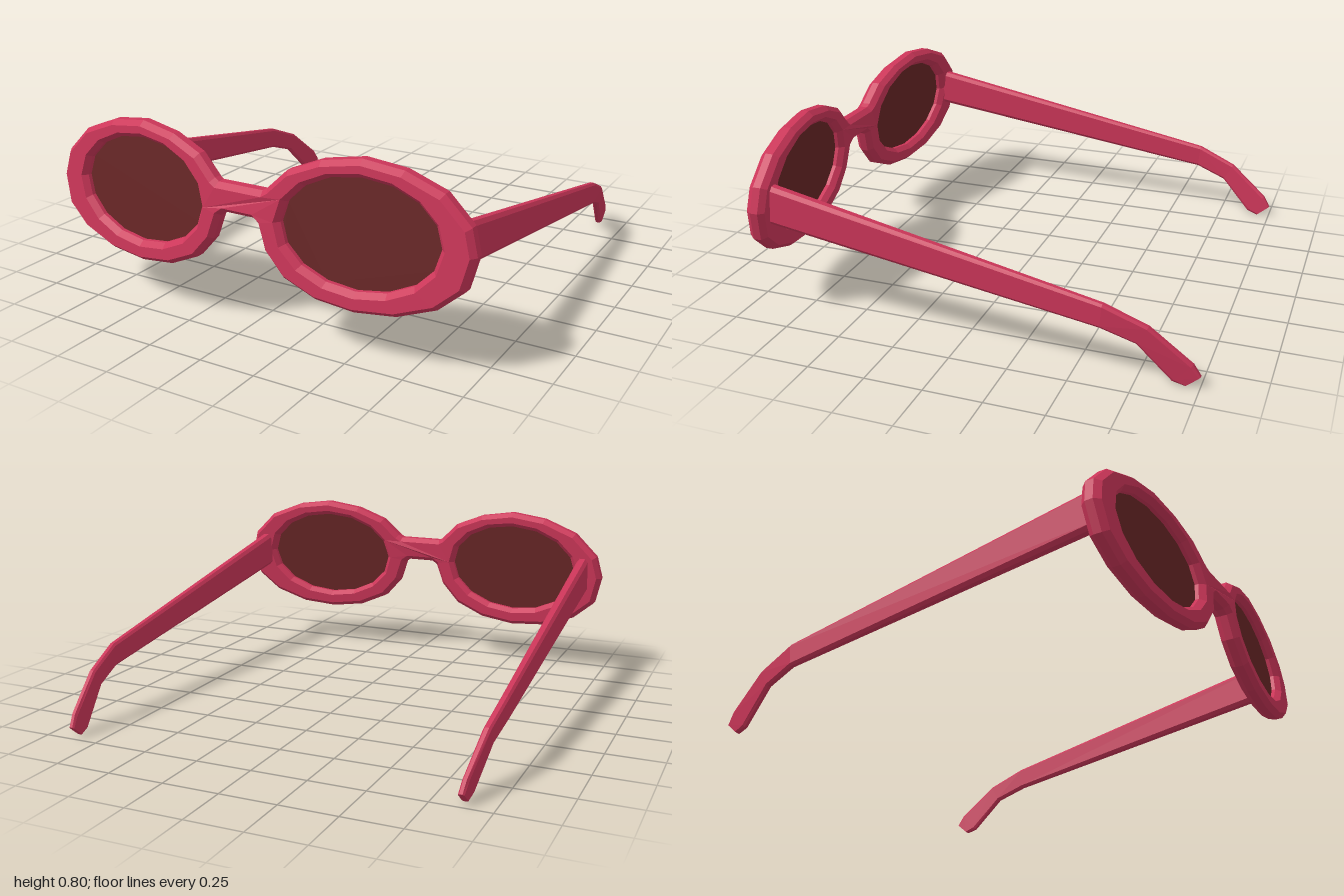
import * as THREE from 'three';

// Frame front: tilts forward at the bottom and sweeps back towards the sides
const sweep = (x, y) => 0.95 + 0.1 * (0.51 - y) - 0.085 * Math.max(Math.abs(x), 0.1);

function bend(geometry) {
  const p = geometry.attributes.position;
  for (let i = 0; i < p.count; i++) p.setZ(i, p.getZ(i) + sweep(p.getX(i), p.getY(i)));
  geometry.computeVertexNormals();
  return geometry;
}

// Faceted oval around a lens centre
function ovalPoints(cx, rx, ry, sides) {
  return Array.from({ length: sides }, (_, i) => {
    const a = (i / sides) * Math.PI * 2;
    return new THREE.Vector2(cx + rx * Math.cos(a), 0.512 + ry * Math.sin(a));
  });
}

// Bevelled frame with two lens openings
function makeFrame(material) {
  const half = [
    [0.066, 0.508], [0.09, 0.49], [0.125, 0.386], [0.21, 0.29], [0.35, 0.228], [0.516, 0.206],
    [0.69, 0.222], [0.85, 0.28], [0.955, 0.37], [0.988, 0.503], [0.96, 0.61], [0.85, 0.72],
    [0.69, 0.783], [0.52, 0.805], [0.35, 0.777], [0.21, 0.72], [0.125, 0.637], [0.105, 0.625],
  ];
  const mirrored = half.map(([x, y]) => [-x, y]).reverse();
  const shape = new THREE.Shape([...half, ...mirrored].map(([x, y]) => new THREE.Vector2(x, y)));
  for (const s of [1, -1]) shape.holes.push(new THREE.Path(ovalPoints(s * 0.52, 0.332, 0.222, 16)));
  const geometry = new THREE.ExtrudeGeometry(shape, {
    depth: 0.035, bevelEnabled: true, bevelThickness: 0.025, bevelSize: 0.02,
    bevelOffset: -0.02, bevelSegments: 1,
  });
  geometry.translate(0, 0, -0.0175);
  const mesh = new THREE.Mesh(bend(geometry), material);
  mesh.name = 'frame';
  return mesh;
}

// Temple arm: chamfered rectangular sections joined along the arm
function makeTemple(side, material) {
  // top z, top y, bottom z, bottom y, centre x, half thickness
  const stations = [
    [0.86, 0.608, 0.86, 0.433, 0.894, 0.028],
    [-0.617, 0.325, -0.607, 0.222, 0.922, 0.017],
    [-0.795, 0.25, -0.75, 0.17, 0.905, 0.016],
    [-0.97, 0.105, -0.89, 0.02, 0.88, 0.014],
    [-1.0, 0.055, -0.94, 0.004, 0.874, 0.013],
  ];
  const rings = stations.map(([tz, ty, bz, by, cx, h]) => {
    const c = 0.1; // chamfer as a share of the height
    const at = (dx, t) => new THREE.Vector3(side * (cx + dx * h), by + (ty - by) * t, bz + (tz - bz) * t);
    return [at(0.5, 0), at(1, c), at(1, 1 - c), at(0.5, 1), at(-0.5, 1), at(-1, 1 - c), at(-1, c), at(-0.5, 0)];
  });
  const out = [];
  const tri = (a, b, c) => (side > 0 ? out.push(a, b, c) : out.push(a, c, b));
  for (let i = 0; i < rings.length - 1; i++) {
    for (let j = 0; j < 8; j++) {
      const k = (j + 1) % 8;
      const [a, b, c, d] = [rings[i][j], rings[i][k], rings[i + 1][k], rings[i + 1][j]];
      tri(a, c, d);
      tri(a, b, c);
    }
  }
  const first = rings[0], last = rings[rings.length - 1];
  for (let j = 1; j < 7; j++) {
    tri(first[0], first[j + 1], first[j]);
    tri(last[0], last[j], last[j + 1]);
  }
  // Winding runs counter-clockwise when seen from outside
  const n = new THREE.Vector3().subVectors(rings[0][2], rings[0][1])
    .cross(new THREE.Vector3().subVectors(rings[1][2], rings[0][1])).multiplyScalar(side);
  if (n.x * side < 0) for (let i = 0; i < out.length; i += 3) [out[i + 1], out[i + 2]] = [out[i + 2], out[i + 1]];
  const geometry = new THREE.BufferGeometry().setFromPoints(out);
  geometry.computeVertexNormals();
  const mesh = new THREE.Mesh(geometry, material);
  mesh.name = side > 0 ? 'leftTemple' : 'rightTemple';
  return mesh;
}

// Tinted lens plate set in the middle of the frame thickness
function makeLens(side, material) {
  const shape = new THREE.Shape(ovalPoints(side * 0.52, 0.345, 0.235, 32));
  const mesh = new THREE.Mesh(bend(new THREE.ShapeGeometry(shape)), material);
  mesh.name = side > 0 ? 'leftLens' : 'rightLens';
  return mesh;
}

export function createModel() {
  const frameRed = new THREE.MeshStandardMaterial({ color: 0xcc3659 });
  frameRed.name = 'frameRed';
  const lensBrown = new THREE.MeshStandardMaterial({ color: 0x682626, side: THREE.DoubleSide });
  lensBrown.name = 'lensBrown';

  const model = new THREE.Group();
  model.name = 'sunglasses';
  model.add(makeFrame(frameRed));
  for (const side of [1, -1]) model.add(makeLens(side, lensBrown), makeTemple(side, frameRed));
  return model;
}
